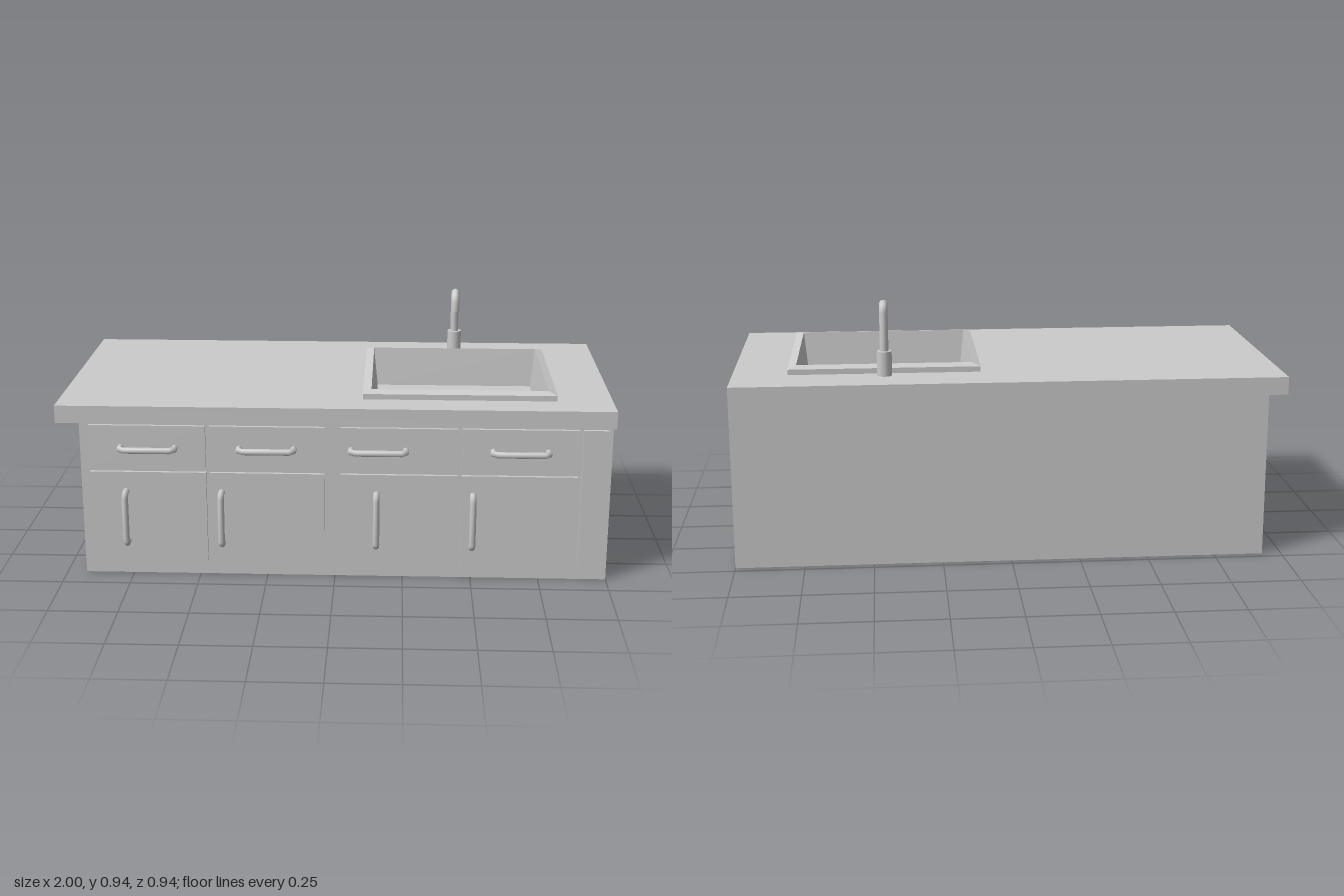
import * as THREE from 'three';

const material = new THREE.MeshStandardMaterial({ color: 0xcccccc });
const flatMaterial = new THREE.MeshStandardMaterial({ color: 0xcccccc, flatShading: true });

// Polyline with one tube segment per stretch, so bends stay angular
class Polyline extends THREE.Curve {
  constructor(points) {
    super();
    this.points = points;
  }
  getUtoTmapping(u) {
    return u;
  }
  getPoint(t, target = new THREE.Vector3()) {
    const last = this.points.length - 1;
    const i = Math.min(Math.floor(t * last), last - 1);
    return target.lerpVectors(this.points[i], this.points[i + 1], t * last - i);
  }
}

function add(parent, name, geometry, mat = material) {
  const mesh = new THREE.Mesh(geometry, mat);
  mesh.name = name;
  parent.add(mesh);
  return mesh;
}

function boxBetween(x0, x1, y0, y1, z0, z1) {
  return new THREE.BoxGeometry(x1 - x0, y1 - y0, z1 - z0)
    .translate((x0 + x1) / 2, (y0 + y1) / 2, (z0 + z1) / 2);
}

function tube(points, radius, sides) {
  const path = new Polyline(points.map(p => new THREE.Vector3(...p)));
  return new THREE.TubeGeometry(path, points.length - 1, radius, sides);
}

// Rectangular rings given as [inset, height], joined and closed by a floor
function rectangularLoft(x0, x1, z0, z1, profile) {
  const positions = [];
  const rings = profile.map(([d, y]) => [
    [x0 + d, y, z1 - d], [x1 - d, y, z1 - d], [x1 - d, y, z0 + d], [x0 + d, y, z0 + d],
  ]);
  const quad = (a, b, c, d) => positions.push(...a, ...b, ...c, ...a, ...c, ...d);
  for (let i = 0; i < rings.length - 1; i++) {
    for (let k = 0; k < 4; k++) {
      const n = (k + 1) % 4;
      quad(rings[i][k], rings[i][n], rings[i + 1][n], rings[i + 1][k]);
    }
  }
  quad(...rings[rings.length - 1]);
  const geometry = new THREE.BufferGeometry();
  geometry.setAttribute('position', new THREE.Float32BufferAttribute(positions, 3));
  geometry.computeVertexNormals();
  return geometry;
}

export function createModel() {
  const model = new THREE.Group();
  model.name = 'kitchenCounter';

  // Cabinet body, open on top to receive the basin
  const body = boxBetween(-0.93, 1, 0, 0.605, -0.47, 0.4);
  const faces = Array.from(body.index.array);
  faces.splice(12, 6);
  body.setIndex(faces);
  body.clearGroups();
  add(model, 'cabinetBody', body);

  // Countertop with the sink cut-out
  const rectangle = (Type, x0, x1, y0, y1) => new Type([
    new THREE.Vector2(x0, y0), new THREE.Vector2(x1, y0),
    new THREE.Vector2(x1, y1), new THREE.Vector2(x0, y1),
  ]);
  const slab = rectangle(THREE.Shape, -1, 1, -0.47, 0.47);
  slab.holes.push(rectangle(THREE.Path, 0.115, 0.785, -0.335, 0.28));
  add(model, 'countertop', new THREE.ExtrudeGeometry(slab, { depth: 0.065, bevelEnabled: false })
    .rotateX(-Math.PI / 2).translate(0, 0.605, 0));

  // Sink with bevelled rim and steep bowl walls
  add(model, 'sink', rectangularLoft(0.1, 0.8, -0.295, 0.35,
    [[0, 0.67], [0, 0.69], [0.03, 0.7], [0.045, 0.55]]), flatMaterial);

  // Bow handle, running along y and standing out towards +z
  const handleGeometry = tube([
    [0, -0.098, 0], [0, -0.098, 0.025], [0, -0.083, 0.04],
    [0, 0.083, 0.04], [0, 0.098, 0.025], [0, 0.098, 0],
  ], 0.012, 8);

  // Drawers above doors: left edge, right edge, drawer handle x, door handle x
  const bays = [
    [-0.895, -0.47, -0.68, -0.765],
    [-0.455, -0.037, -0.248, -0.414],
    [0.02, 0.445, 0.158, 0.152],
    [0.46, 0.88, 0.671, 0.503],
  ];
  for (const [x0, x1, drawerX, doorX] of bays) {
    add(model, 'drawerFront', boxBetween(x0, x1, 0.42, 0.58, 0.4, 0.412));
    add(model, 'door', boxBetween(x0, x1, 0.053, 0.402, 0.4, 0.412));
    const drawerHandle = add(model, 'drawerHandle', handleGeometry);
    drawerHandle.position.set(drawerX, 0.497, 0.41);
    drawerHandle.scale.y = 1.01;
    drawerHandle.rotation.z = Math.PI / 2;
    add(model, 'doorHandle', handleGeometry).position.set(doorX, 0.23, 0.41);
  }
  add(model, 'fillerPanel', boxBetween(0.893, 0.985, 0.053, 0.58, 0.4, 0.412));

  // Faucet: base, hooked spout and its closed outlet
  const faucet = new THREE.Group();
  faucet.name = 'faucet';
  faucet.position.set(0.45, 0, -0.322);
  model.add(faucet);
  add(faucet, 'faucetBase', new THREE.CylinderGeometry(0.027, 0.027, 0.09, 16).translate(0, 0.715, 0));
  add(faucet, 'spout', tube([
    [0, 0.75, 0], [0, 0.9, 0], [0, 0.918, 0.013], [0, 0.924, 0.037],
    [0, 0.914, 0.057], [0, 0.892, 0.066], [0, 0.852, 0.066],
  ], 0.0155, 12));
  add(faucet, 'spoutOutlet', new THREE.CircleGeometry(0.0155, 12)
    .rotateX(Math.PI / 2).translate(0, 0.852, 0.066));

  return model;
}
